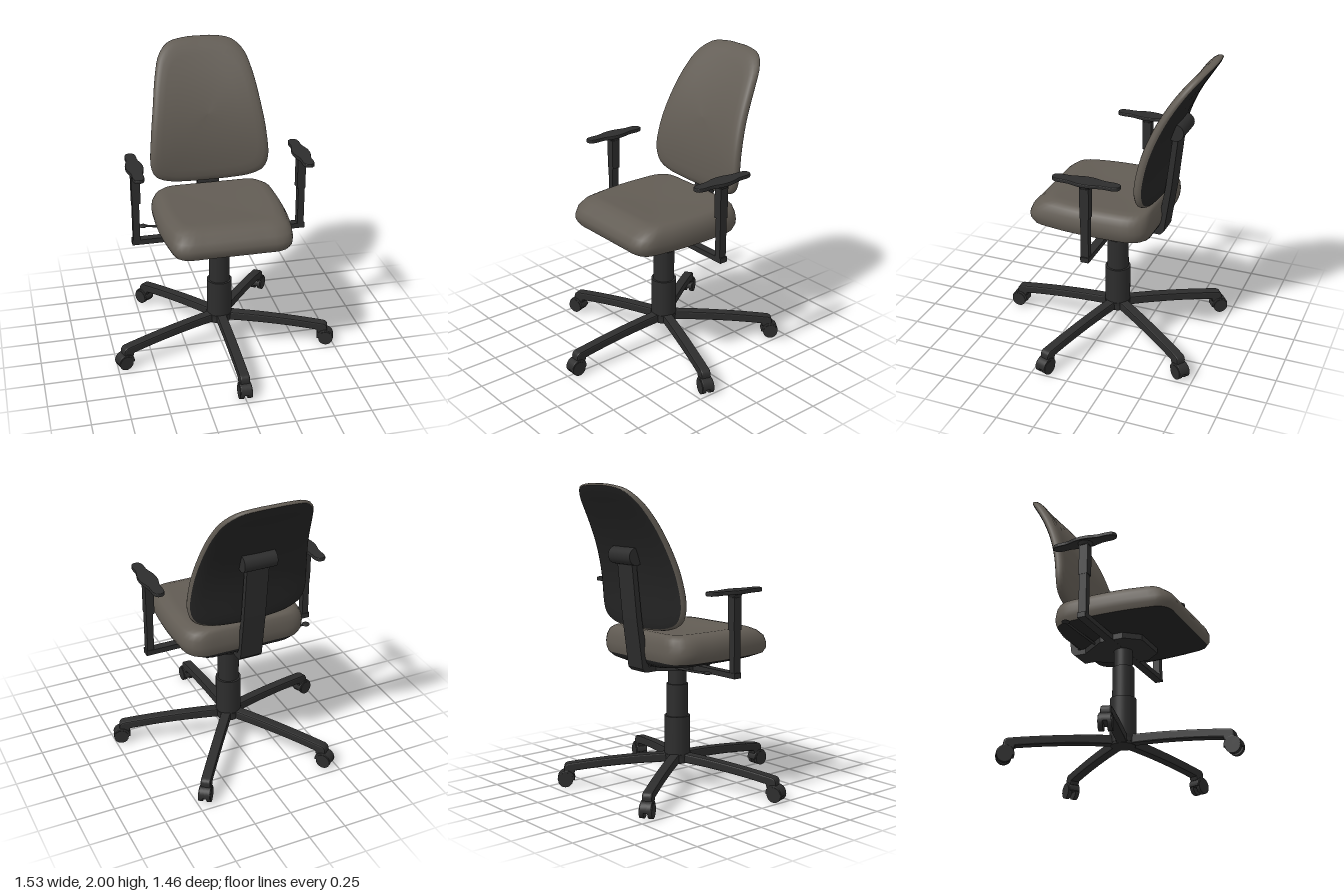
import * as THREE from 'three';

const mat = (name, color, side = THREE.FrontSide) => {
  const m = new THREE.MeshStandardMaterial({ color, side });
  m.name = name;
  return m;
};

// Closed smooth outline from the points of its +x half (first and last lie on x = 0)
function outline(half, count) {
  const mirrored = half.slice(1, -1).reverse().map(([x, y]) => [-x, y]);
  const pts = [...half, ...mirrored].map(([x, y]) => new THREE.Vector3(x, y, 0));
  return new THREE.CatmullRomCurve3(pts, true, 'centripetal').getSpacedPoints(count).slice(0, -1);
}

// Smooth skin over a list of closed rings with equal point counts
function loft(rings) {
  const n = rings[0].length, index = [];
  for (let i = 0; i < rings.length - 1; i++) {
    for (let j = 0; j < n; j++) {
      const a = i * n + j, b = i * n + (j + 1) % n, c = a + n, d = b + n;
      index.push(a, c, b, b, c, d);
    }
  }
  const g = new THREE.BufferGeometry().setFromPoints(rings.flat());
  g.setIndex(index);
  g.computeVertexNormals();
  return g;
}

// Side profile given as (z, y), extruded to a width across x
function sideExtrude(shape, width, bevel = 0) {
  const g = new THREE.ExtrudeGeometry(shape, {
    depth: width - 2 * bevel, bevelEnabled: bevel > 0, bevelSize: bevel, bevelOffset: -bevel,
    bevelThickness: bevel, bevelSegments: 2, curveSegments: 16,
  });
  return g.translate(0, 0, -width / 2 + bevel).rotateY(-Math.PI / 2);
}

const polygon = (pts) => new THREE.Shape(pts.map(([x, y]) => new THREE.Vector2(x, y)));

export function createModel() {
  const model = new THREE.Group();
  model.name = 'officeChair';
  const fabric = mat('brown fabric', 0x625c54);
  const plastic = mat('black plastic', 0x2d2d2d);
  const shell = mat('dark shell', 0x242424);
  const add = (name, geo, material, x = 0, y = 0, z = 0, parent = model) => {
    const m = new THREE.Mesh(geo, material);
    m.name = name;
    m.position.set(x, y, z);
    parent.add(m);
    return m;
  };
  const axisZ = -0.06;

  // Seat: rings of [half width, front z, back z, y]
  const seatLine = outline([[0, 1], [0.45, 1], [0.74, 0.99], [0.88, 0.9], [0.96, 0.55], [1, 0.1],
    [1, -0.4], [0.96, -0.8], [0.82, -0.97], [0.4, -1], [0, -1]], 72);
  const seatRing = ([w, f, b, y]) => seatLine.map((p) =>
    new THREE.Vector3(p.x * w, y, p.y > 0 ? p.y * f : -p.y * b));
  const seatEdge = [0.41, 0.41, -0.38, 0.89];
  add('seatCushion', loft([[0, 0, 0, 1.05], [0.2, 0.15, -0.2, 1.053], [0.32, 0.27, -0.33, 1.065],
    [0.365, 0.31, -0.36, 1.06], [0.4, 0.36, -0.375, 1.04], [0.422, 0.41, -0.385, 1.0],
    [0.428, 0.43, -0.39, 0.955], [0.424, 0.43, -0.388, 0.92], seatEdge].map(seatRing)), fabric);
  add('seatShell', loft([seatEdge, [0.35, 0.35, -0.37, 0.865], [0.23, 0.25, -0.34, 0.845],
    [0, 0, 0, 0.838]].map(seatRing)), shell);

  // Backrest: rings of [scale, depth], leaning back and wrapping forward at the sides
  const backLine = outline([[0, 1.08], [0.16, 1.085], [0.28, 1.1], [0.37, 1.14], [0.405, 1.22],
    [0.397, 1.4], [0.368, 1.6], [0.33, 1.8], [0.29, 1.91], [0.22, 1.975], [0.1, 1.998], [0, 2]], 80);
  const midY = 1.55;
  const backRing = ([s, depth]) => backLine.map((p) => {
    const x = p.x * s, y = midY + (p.y - midY) * s;
    const lean = 0.49 * Math.max(0, y - 1.2) ** 2;
    return new THREE.Vector3(x, y, -0.325 - lean + 0.03 * (x / 0.4) ** 2 + depth);
  });
  const backEdge = [0.975, -0.065];
  add('backCushion', loft([[0, 0], [0.2, 0], [0.4, 0], [0.6, 0], [0.8, -0.001], [0.9, -0.004],
    [0.96, -0.013], [0.99, -0.026], [1, -0.042], [0.995, -0.056], backEdge].map(backRing)), fabric);
  add('backShell', loft([backEdge, [0.92, -0.074], [0.8, -0.079], [0.6, -0.08], [0.4, -0.08],
    [0.2, -0.08], [0, -0.08]].map(backRing)), shell);

  // Back support and its tilt knob
  add('backSupport', sideExtrude(polygon([[-0.15, 0.805], [-0.38, 0.805], [-0.405, 0.83],
    [-0.45, 1.15], [-0.49, 1.55], [-0.455, 1.55], [-0.41, 1.15], [-0.375, 0.95], [-0.355, 0.84],
    [-0.15, 0.84]]), 0.15), plastic);
  add('backPivot', new THREE.CylinderGeometry(0.056, 0.056, 0.22, 28).rotateZ(Math.PI / 2),
    plastic, 0, 1.55, -0.475);

  // Mechanism plate under the seat
  const plate = polygon([[-0.12, -0.13], [0.12, -0.13], [0.2, -0.03], [0.2, 0.13], [0.075, 0.3],
    [-0.075, 0.3], [-0.2, 0.13], [-0.2, -0.03]]);
  add('mechanismPlate', new THREE.ExtrudeGeometry(plate, { depth: 0.04, bevelEnabled: false })
    .rotateX(-Math.PI / 2), plastic, 0, 0.805, 0);

  // Height lever on the right
  const leverPath = new THREE.CatmullRomCurve3([new THREE.Vector3(-0.1, 0.825, -0.19),
    new THREE.Vector3(-0.32, 0.83, -0.205), new THREE.Vector3(-0.48, 0.845, -0.225)]);
  add('lever', new THREE.TubeGeometry(leverPath, 12, 0.008, 8), plastic);
  add('leverKnob', new THREE.SphereGeometry(0.027, 16, 10).scale(1, 0.35, 1),
    plastic, -0.49, 0.845, -0.225);

  // Armrests
  add('armBar', new THREE.BoxGeometry(1.18, 0.035, 0.055), plastic, 0, 0.822, -0.065);
  const padLine = outline([[0, 0.222], [0.026, 0.212], [0.037, 0.18], [0.038, 0.11], [0.055, 0.04],
    [0.058, 0], [0.055, -0.04], [0.038, -0.11], [0.037, -0.18], [0.026, -0.212], [0, -0.222]], 56);
  const padGeo = new THREE.ExtrudeGeometry(new THREE.Shape(padLine.map((p) => new THREE.Vector2(p.x, p.y))),
    { depth: 0.014, bevelSize: 0.006, bevelOffset: -0.006, bevelThickness: 0.006, bevelSegments: 2 })
    .rotateX(-Math.PI / 2);
  for (const s of [-1, 1]) {
    const arm = new THREE.Group();
    arm.name = s > 0 ? 'leftArmrest' : 'rightArmrest';
    arm.position.set(s * 0.556, 0, -0.063);
    model.add(arm);
    add('armPost', new THREE.BoxGeometry(0.044, 0.32, 0.052), plastic, s * 0.004, 0.965, 0, arm);
    add('armSleeve', new THREE.BoxGeometry(0.056, 0.23, 0.06), plastic, 0, 1.22, 0, arm);
    add('armCollar', new THREE.CylinderGeometry(0.05, 0.036, 0.025, 20), plastic, 0, 1.322, 0, arm);
    add('armPad', padGeo, plastic, 0, 1.337, -0.005, arm);
  }

  // Gas column: [radius, bottom, top]
  for (const [r, y0, y1] of [[0.085, 0.17, 0.47], [0.071, 0.47, 0.685], [0.061, 0.685, 0.82]]) {
    add('columnStage', new THREE.CylinderGeometry(r, r, y1 - y0, 32), plastic, 0, (y0 + y1) / 2, axisZ);
  }
  add('baseHub', new THREE.CylinderGeometry(0.088, 0.08, 0.06, 32), plastic, 0, 0.185, axisZ);

  // Five legs with twin-wheel casters
  const legShape = new THREE.Shape();
  legShape.moveTo(0, 0.222);
  legShape.quadraticCurveTo(0.35, 0.212, 0.72, 0.16);
  legShape.quadraticCurveTo(0.75, 0.155, 0.752, 0.125);
  legShape.lineTo(0.752, 0.085);
  legShape.lineTo(0.685, 0.085);
  legShape.lineTo(0.678, 0.108);
  legShape.quadraticCurveTo(0.35, 0.155, 0, 0.158);
  const legGeo = sideExtrude(legShape, 0.066, 0.01);
  const hoodShape = new THREE.Shape();
  hoodShape.absarc(0, 0, 0.057, -0.15, Math.PI + 0.15, false);
  const hoodGeo = sideExtrude(hoodShape, 0.076, 0.006);
  const wheelGeo = new THREE.CylinderGeometry(0.049, 0.049, 0.028, 28).rotateZ(Math.PI / 2);
  for (let i = 0; i < 5; i++) {
    const leg = new THREE.Group();
    leg.name = 'baseLeg';
    leg.position.z = axisZ;
    leg.rotation.y = (i * Math.PI * 2) / 5;
    model.add(leg);
    add('legBeam', legGeo, plastic, 0, 0, 0, leg);
    add('casterHood', hoodGeo, plastic, 0, 0.054, 0.737, leg);
    for (const s of [-1, 1]) add('casterWheel', wheelGeo, plastic, s * 0.027, 0.049, 0.742, leg);
  }
  return model;
}
